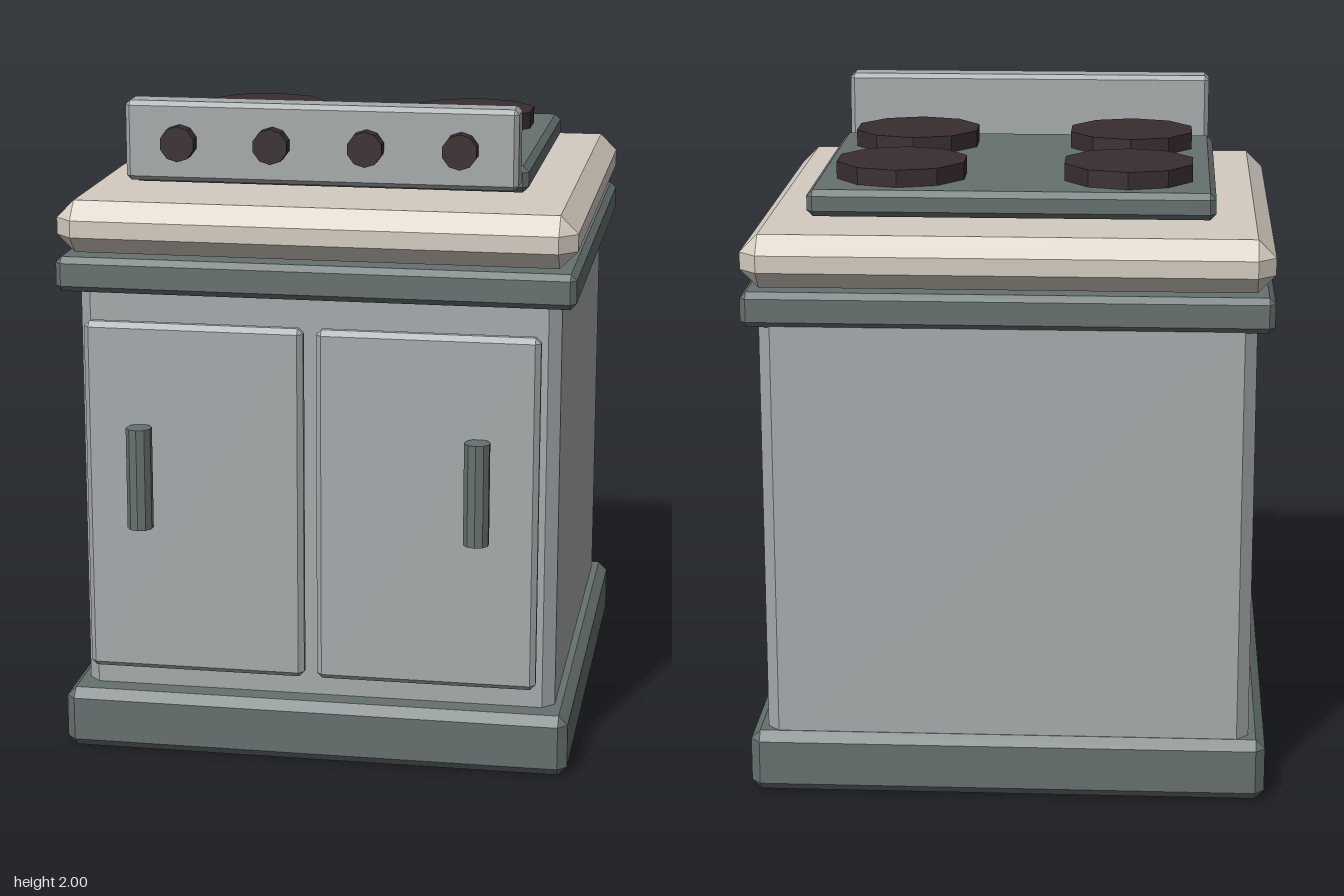
import * as THREE from 'three';
import { ConvexGeometry } from 'three/addons/geometries/ConvexGeometry.js';

const mat = (name, color) => {
  const m = new THREE.MeshStandardMaterial({ color });
  m.name = name;
  return m;
};

// Box given by its min and max corners, with every edge chamfered by b
function chamferBox(min, max, b) {
  const c = min.map((v, i) => (v + max[i]) / 2);
  const h = min.map((v, i) => (max[i] - v) / 2);
  const pts = [];
  for (const sx of [-1, 1]) for (const sy of [-1, 1]) for (const sz of [-1, 1]) {
    const s = [sx, sy, sz];
    for (let full = 0; full < 3; full++) {
      pts.push(new THREE.Vector3(...s.map((k, i) => c[i] + k * (i === full ? h[i] : h[i] - b))));
    }
  }
  return new ConvexGeometry(pts);
}

// Faceted upright cylinder
const prism = (r, h, sides = 10) => new THREE.CylinderGeometry(r, r, h, sides).toNonIndexed();

export function createModel() {
  const group = new THREE.Group();
  const steel = mat('light steel', 0xa6abad);
  const trim = mat('dark trim', 0x66716f);
  const stone = mat('pale countertop', 0xd4ccc1);
  const iron = mat('burner iron', 0x392e2f);

  const add = (name, geometry, material) => {
    geometry.computeVertexNormals();
    const mesh = new THREE.Mesh(geometry, material);
    mesh.name = name;
    group.add(mesh);
    return mesh;
  };
  const box = (name, min, max, bevel, material) => add(name, chamferBox(min, max, bevel), material);

  // Cabinet
  box('base', [-0.778, 0, -0.83], [0.775, 0.19, 0.72], 0.028, trim);
  box('body', [-0.728, 0.12, -0.8], [0.726, 1.51, 0.63], 0.036, steel);
  box('upperBand', [-0.778, 1.445, -0.815], [0.775, 1.55, 0.71], 0.018, trim);
  box('countertop', [-0.778, 1.56, -0.832], [0.775, 1.717, 0.72], 0.053, stone);

  // Doors and their upright handles
  for (const [side, x0, x1, hx] of [['right', -0.682, -0.021, -0.508], ['left', 0.018, 0.68, 0.503]]) {
    box(side + 'Door', [x0, 0.288, 0.71], [x1, 1.37, 0.76], 0.016, steel);
    add(side + 'Handle', prism(0.039, 0.31), trim).position.set(hx, 0.907, 0.795);
  }

  // Hob with four burners
  box('hob', [-0.606, 1.732, -0.6], [0.602, 1.812, 0.425], 0.018, trim);
  for (const x of [-0.345, 0.34]) for (const z of [-0.34, 0.22]) {
    add('burner', prism(0.202, 0.052), iron).position.set(x, 1.838, z);
  }

  // Control panel with a row of knobs
  box('controlPanel', [-0.593, 1.76, 0.448], [0.585, 2.0, 0.553], 0.014, steel);
  for (const x of [-0.425, -0.145, 0.137, 0.417]) {
    const knob = add('knob', prism(0.053, 0.06), iron);
    knob.rotation.x = Math.PI / 2;
    knob.position.set(x, 1.88, 0.57);
  }

  return group;
}
